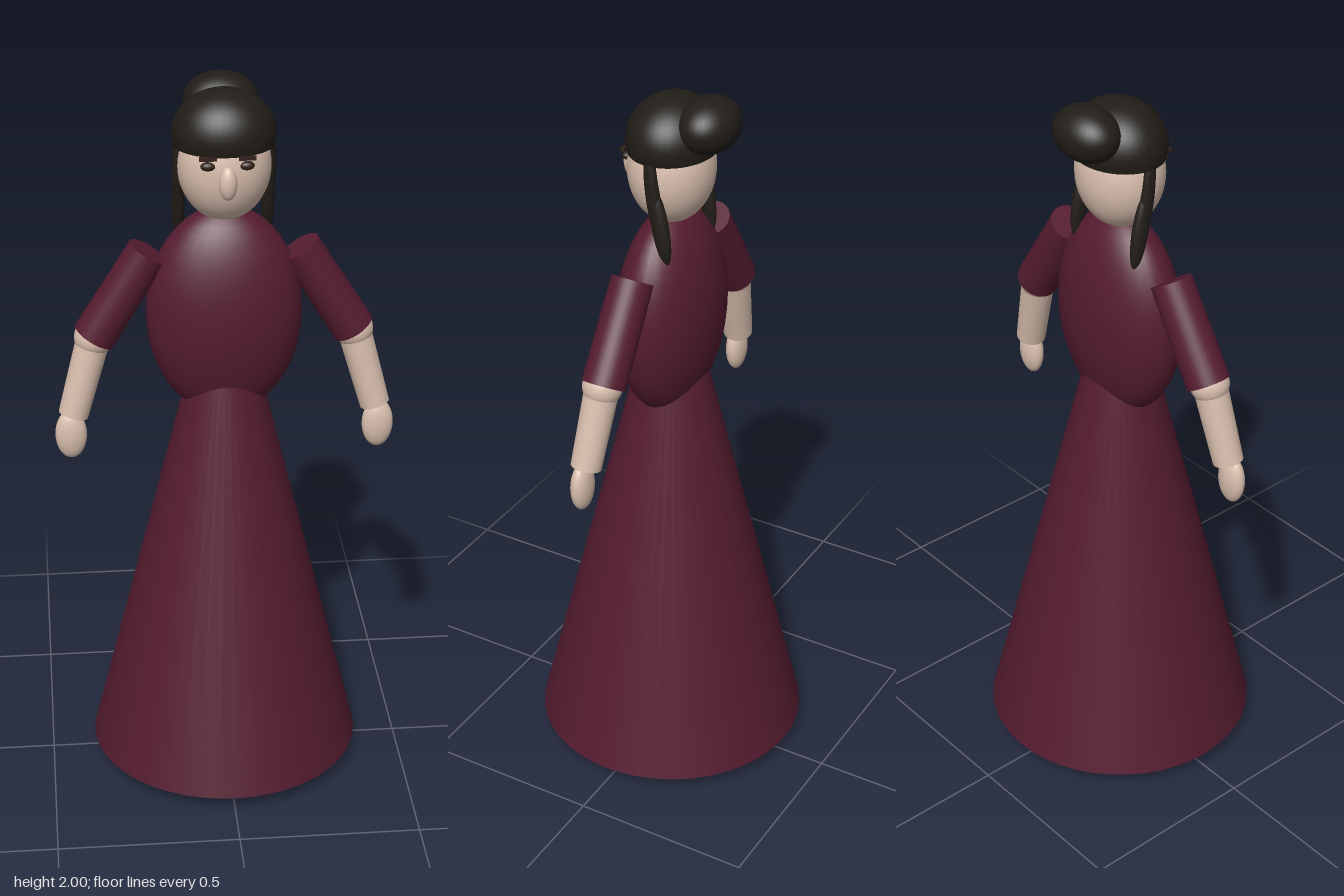
import * as THREE from 'three';

const mat = (color) => new THREE.MeshStandardMaterial({ color });

export function createModel() {
  const group = new THREE.Group();
  const dress = mat(0x551c30), skin = mat(0xd9bfae), hair = mat(0x211d18);
  const shoe = mat(0x333338), dark = mat(0x33211a);

  const add = (name, geometry, material, pos = [0, 0, 0]) => {
    const mesh = new THREE.Mesh(geometry, material);
    mesh.name = name;
    mesh.position.set(...pos);
    group.add(mesh);
    return mesh;
  };
  const ellipsoid = (name, pos, radii, material) =>
    add(name, new THREE.SphereGeometry(1, 32, 24).scale(...radii), material, pos);
  // Capped cylinder running from point a to point b
  const limb = (name, a, b, ra, rb, material) => {
    const from = new THREE.Vector3(...a), to = new THREE.Vector3(...b);
    const dir = to.clone().sub(from);
    const mesh = add(name, new THREE.CylinderGeometry(rb, ra, dir.length(), 32), material);
    mesh.position.copy(from).add(to).multiplyScalar(0.5);
    mesh.quaternion.setFromUnitVectors(new THREE.Vector3(0, 1, 0), dir.normalize());
    return mesh;
  };

  // Dress
  limb('skirt', [0, 0.05, 0], [0, 1.24, 0], 0.378, 0.086, dress)
    .geometry = new THREE.CylinderGeometry(0.086, 0.378, 1.19, 48);
  ellipsoid('bodice', [0, 1.37, 0], [0.21, 0.3, 0.125], dress);

  // Head and face
  ellipsoid('head', [0, 1.787, 0], [0.124, 0.152, 0.114], skin);
  ellipsoid('nose', [0, 1.773, 0.118], [0.024, 0.045, 0.023], skin);

  // Hair cap, cut level just below its widest ring and closed underneath
  const cap = [];
  for (let i = 0; i <= 16; i++) {
    const t = (i / 16) * 1.86;
    cap.push(new THREE.Vector2(Math.sin(t), -Math.cos(t)));
  }
  cap.reverse();
  const capProfile = cap.map((p) => new THREE.Vector2(Math.max(p.x, 0), -p.y));
  add('hairCap', new THREE.LatheGeometry(capProfile, 40).scale(0.137, 0.115, 0.119), hair, [0, 1.872, -0.004]);
  const base = Math.cos(1.86) * 0.115;
  add('hairCapUnderside', new THREE.CircleGeometry(1, 40).rotateX(Math.PI / 2).scale(0.131, 1, 0.114),
    hair, [0, 1.872 + base, -0.004]);
  ellipsoid('bun', [0, 1.927, -0.11], [0.1, 0.073, 0.078], hair);

  for (const s of [1, -1]) {
    const side = s > 0 ? 'left' : 'right';

    // Eyes and brows
    ellipsoid(side + 'Eye', [s * 0.05, 1.815, 0.101], [0.02, 0.012, 0.013], dark);
    add(side + 'Brow', new THREE.BoxGeometry(0.045, 0.009, 0.012), dark, [s * 0.051, 1.836, 0.105]);

    // Hanging lock of hair, swept slightly back
    const upper = ellipsoid(side + 'UpperLock', [s * 0.12, 1.765, -0.012], [0.016, 0.12, 0.02], hair);
    const lower = ellipsoid(side + 'LowerLock', [s * 0.119, 1.67, -0.034], [0.018, 0.108, 0.024], hair);
    upper.rotation.x = 0.12;
    lower.rotation.x = 0.19;

    // Arm: sleeve, elbow, forearm, hand
    limb(side + 'Sleeve', [s * 0.202, 1.547, 0], [s * 0.35, 1.308, 0], 0.056, 0.059, dress);
    ellipsoid(side + 'Elbow', [s * 0.351, 1.307, 0.003], [0.053, 0.053, 0.053], skin);
    limb(side + 'Forearm', [s * 0.351, 1.307, 0.003], [s * 0.412, 1.088, 0.02], 0.046, 0.041, skin);
    ellipsoid(side + 'Hand', [s * 0.42, 1.032, 0.027], [0.043, 0.071, 0.027], skin);

    // Shoe
    ellipsoid(side + 'Shoe', [s * 0.095, 0.05, 0.042], [0.056, 0.05, 0.108], shoe);
  }
  return group;
}
